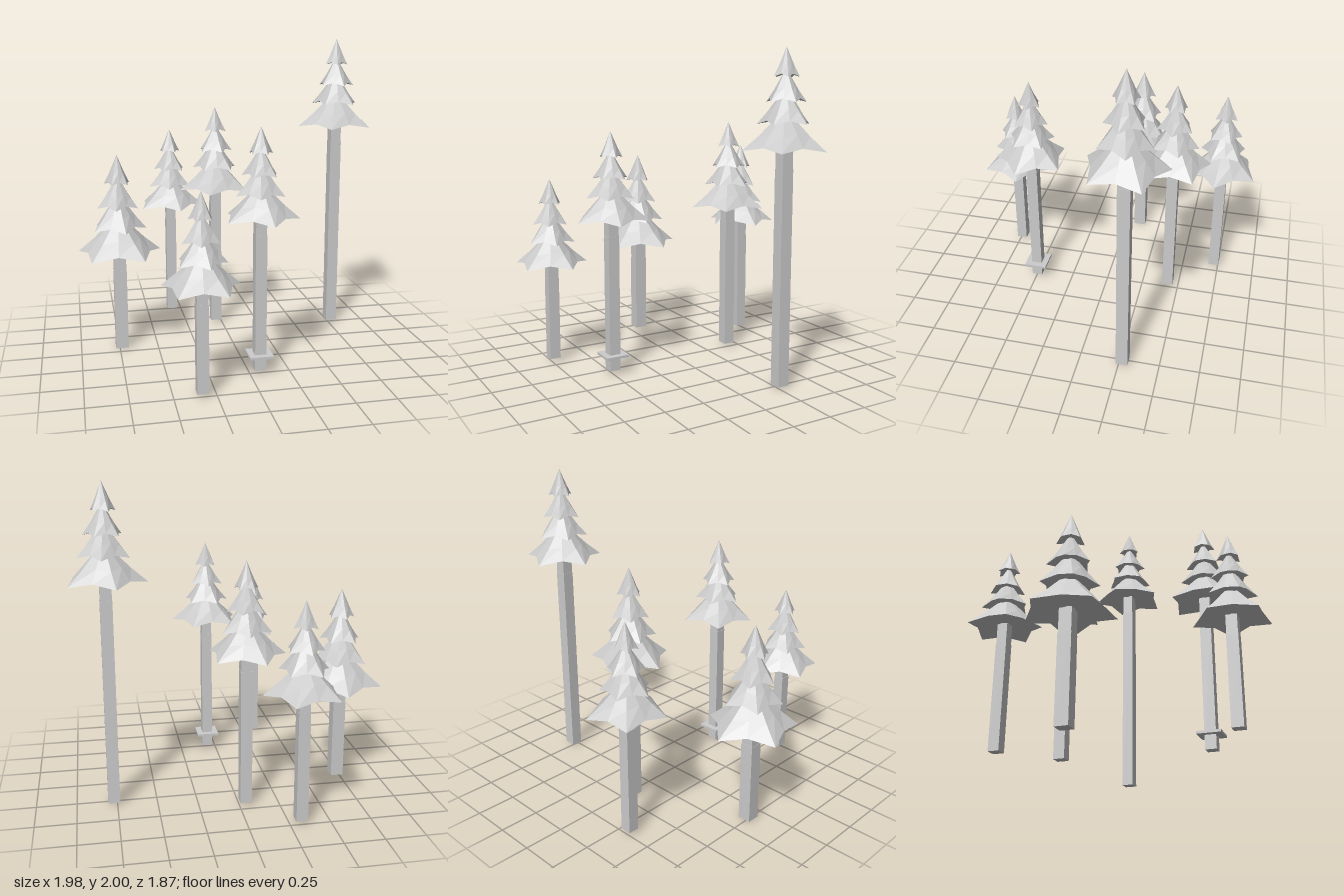
import * as THREE from 'three';

const grey = new THREE.MeshStandardMaterial({ color: 0xcccccc });
grey.name = 'plain grey';

// Tier profile, underside centre to top: [ridge radius, ridge y, valley radius, valley y]
// Radii are fractions of the tier radius, heights are fractions of the tier height.
const PROFILE = [
  [0, 0.14, 0, 0.14],
  [1, 0, 0.74, 0.1],
  [0.6, 0.36, 0.5, 0.41],
  [0, 1, 0, 1],
];
// Tiers for a tree of foliage radius 1: [radius, base y, height]
const TIERS = [
  [1, 0, 0.95],
  [0.64, 0.6, 0.85],
  [0.48, 1.1, 0.75],
  [0.31, 1.65, 0.67],
];

// Five-pointed flared skirt, lofted through ten-point star rings
function starTier(radius, height) {
  const ring = ([rr, ry, vr, vy]) => Array.from({ length: 10 }, (_, i) => {
    const a = (i * Math.PI) / 5;
    const r = radius * (i % 2 ? vr : rr);
    return [r * Math.cos(a), height * (i % 2 ? vy : ry), r * Math.sin(a)];
  });
  const rings = PROFILE.map(ring);
  const last = rings.length - 2;
  const pos = [];
  for (let k = 0; k <= last; k++) {
    for (let i = 0; i < 10; i++) {
      const j = (i + 1) % 10;
      const [a, b, c, d] = [rings[k][i], rings[k + 1][i], rings[k][j], rings[k + 1][j]];
      if (k > 0) pos.push(...a, ...b, ...c);
      if (k < last) pos.push(...c, ...b, ...d);
    }
  }
  const g = new THREE.BufferGeometry();
  g.setAttribute('position', new THREE.Float32BufferAttribute(pos, 3));
  g.computeVertexNormals();
  return g;
}

function box(name, w, y0, y1) {
  const m = new THREE.Mesh(new THREE.BoxGeometry(w, y1 - y0, w), grey);
  m.name = name;
  m.position.y = (y0 + y1) / 2;
  return m;
}

function tree({ x, z, r, base, joint, leaf, top, turn }) {
  const g = new THREE.Group();
  g.name = 'pineTree';
  g.position.set(x, 0, z);
  const w = r * 0.295;
  g.add(box('trunk', w, base, joint));
  g.add(box('upperTrunk', w * 0.95, joint, leaf + r * 0.2));
  // stacked foliage, each tier twisted a little further
  const s = (top - leaf) / 2.32;
  TIERS.forEach(([tr, y, h], i) => {
    const m = new THREE.Mesh(starTier(tr * r, h * s), grey);
    m.name = 'foliageTier' + (i + 1);
    m.position.y = leaf + y * s;
    m.rotation.y = -THREE.MathUtils.degToRad(turn + i * 20);
    g.add(m);
  });
  return g;
}

export function createModel() {
  const model = new THREE.Group();
  model.name = 'pineGrove';
  const trees = [
    { x: -0.734, z: -0.1, r: 0.28, base: 0, joint: 0.525, leaf: 0.64, top: 1.285, turn: -13.5 },
    { x: -0.32, z: -0.72, r: 0.24, base: 0.025, joint: 0.71, leaf: 0.81, top: 1.365, turn: 7 },
    { x: -0.04, z: -0.427, r: 0.245, base: 0.02, joint: 0.88, leaf: 0.975, top: 1.545, turn: 36 },
    { x: 0.77, z: -0.272, r: 0.252, base: 0.015, joint: 1.31, leaf: 1.415, top: 2, turn: 41 },
    { x: 0.062, z: 0.49, r: 0.237, base: 0.025, joint: 0.875, leaf: 0.97, top: 1.515, turn: 11 },
    { x: -0.333, z: 0.733, r: 0.237, base: 0.025, joint: 0.56, leaf: 0.65, top: 1.2, turn: -13 },
  ].map(tree);
  // square collar near the foot of one trunk
  trees[4].add(box('trunkCollar', 0.148, 0.112, 0.128));
  model.add(...trees);
  return model;
}
